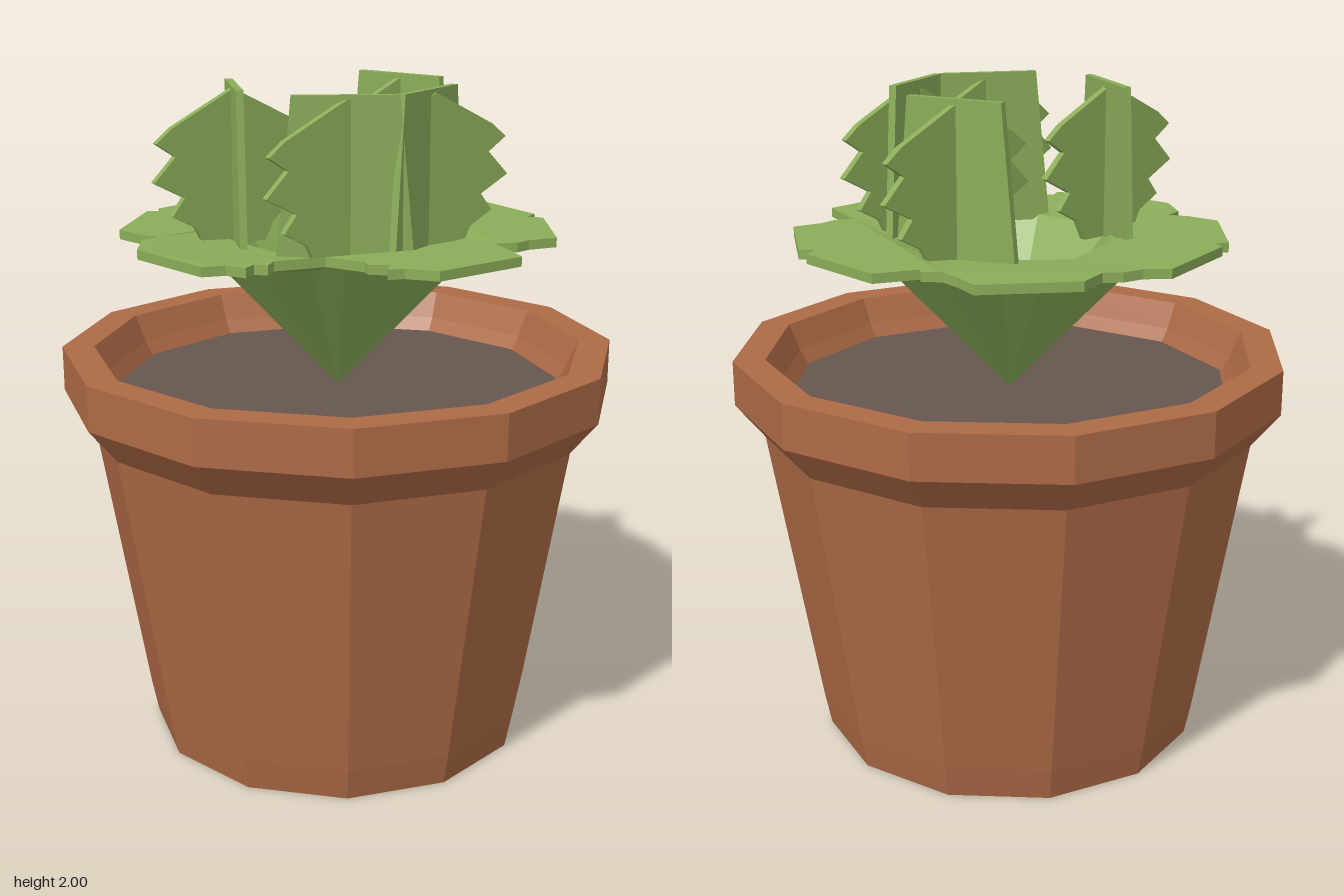
import * as THREE from 'three';

export function createModel() {
  const model = new THREE.Group();
  model.name = 'pottedPlant';
  const material = (name, color) =>
    new THREE.MeshStandardMaterial({ name, color, flatShading: true, side: THREE.DoubleSide });
  const terracotta = material('terracotta', 0xad6a46);
  const earth = material('earth', 0x665750);
  const green = material('leafGreen', 0x8bad59);

  const add = (name, geometry, mat, parent = model) => {
    const mesh = new THREE.Mesh(geometry, mat);
    mesh.name = name;
    parent.add(mesh);
    return mesh;
  };
  const toShape = (pts) => new THREE.Shape(pts.map(([x, y]) => new THREE.Vector2(x, y)));

  // Twelve-sided pot with a flared rim and inner wall
  const profile = [[0, 0], [0.58, 0], [0.6, 0.1], [0.745, 0.98], [0.83, 1.085], [0.83, 1.22],
    [0.735, 1.22], [0.7, 1.14], [0.665, 1.08]];
  add('pot', new THREE.LatheGeometry(profile.map(([x, y]) => new THREE.Vector2(x, y)), 12), terracotta);

  // Soil
  const soil = new THREE.CylinderGeometry(0.67, 0.66, 0.02, 12);
  soil.translate(0, 1.09, 0);
  add('soil', soil, earth);

  // Ragged leaf collar around a funnel, outlines given as x, z
  const outline = [[-0.01, -0.645], [0.05, -0.595], [0.115, -0.585], [0.16, -0.55], [0.26, -0.585],
    [0.5, -0.42], [0.48, -0.33], [0.475, -0.26], [0.515, -0.22], [0.5, -0.2], [0.625, -0.15],
    [0.625, 0.15], [0.58, 0.17], [0.61, 0.21], [0.45, 0.465], [0.36, 0.45], [0.31, 0.46],
    [0.25, 0.435], [0.225, 0.54], [0.205, 0.61], [-0.09, 0.635], [-0.15, 0.56], [-0.195, 0.545],
    [-0.16, 0.5], [-0.205, 0.47], [-0.195, 0.435], [-0.25, 0.325], [-0.395, 0.295], [-0.435, 0.33],
    [-0.46, 0.3], [-0.5, 0.325], [-0.53, 0.27], [-0.595, 0.25], [-0.64, -0.04], [-0.57, -0.15],
    [-0.51, -0.165], [-0.54, -0.22], [-0.56, -0.32], [-0.36, -0.54], [-0.32, -0.52], [-0.31, -0.56]];
  const mouth = [[-0.31, -0.1], [-0.17, -0.26], [0.06, -0.33], [0.23, -0.19], [0.3, -0.12],
    [0.3, 0.08], [0.21, 0.22], [0, 0.29], [-0.22, 0.28], [-0.28, 0.18]];
  const collarShape = toShape(outline);
  collarShape.holes.push(toShape(mouth));
  const collar = new THREE.ExtrudeGeometry(collarShape, { depth: 0.028, bevelEnabled: false });
  collar.rotateX(Math.PI / 2);
  collar.translate(0, 1.575, 0);
  const pos = collar.attributes.position;
  for (let i = 0; i < pos.count; i++) {
    // The collar dips towards the funnel
    if (Math.hypot(pos.getX(i), pos.getZ(i)) < 0.36) pos.setY(i, pos.getY(i) - 0.02);
  }
  add('leafCollar', collar, green);

  // Fan of triangles from an apex on the axis up to a rim
  const fan = (rim, rimY, apexY) => {
    const v = [];
    rim.forEach(([x, z], i) => {
      const [x2, z2] = rim[(i + 1) % rim.length];
      v.push(0, apexY, 0, x, rimY, z, x2, rimY, z2);
    });
    const g = new THREE.BufferGeometry();
    g.setAttribute('position', new THREE.Float32BufferAttribute(v, 3));
    g.computeVertexNormals();
    return g;
  };
  add('funnelInside', fan(mouth, 1.555, 1.13), green);
  const ridges = Array.from({ length: 24 }, (_, i) => {
    const a = (i / 24) * Math.PI * 2;
    const r = i % 2 ? 0.37 : 0.425;
    return [r * Math.sin(a), r * Math.cos(a)];
  });
  add('funnelOutside', fan(ridges, 1.54, 1.09), green);

  // Upright leaves: a spiked plate crossed by a tapered one
  const half = [[0.1, 1.54], [0.13, 1.6], [0.205, 1.64], [0.165, 1.69], [0.26, 1.74],
    [0.19, 1.81], [0.25, 1.85], [0.2, 1.89]];
  const spiked = [...half, [0, 1.99], ...half.map(([x, y]) => [-x, y]).reverse()];
  const plate = (pts) => {
    const g = new THREE.ExtrudeGeometry(toShape(pts), { depth: 0.022, bevelEnabled: false });
    g.translate(0, 0, -0.011);
    return g;
  };
  // Each entry: spiked plate centre, then the two ends of the tapered plate
  const pairs = [
    ['backRight', [-0.285, -0.12], [-0.2, -0.3], [-0.355, 0.06]],
    ['backLeft', [0.29, -0.105], [0.23, -0.29], [0.355, 0.08]],
    ['frontRight', [-0.147, 0.268], [-0.315, 0.17], [0.025, 0.355]],
    ['frontLeft', [0.142, 0.277], [0.3, 0.195], [-0.05, 0.355]],
  ];
  for (const [name, [cx, cz], [x1, z1], [x2, z2]] of pairs) {
    const leaf = new THREE.Group();
    leaf.name = name + 'Leaf';
    model.add(leaf);
    add('spikedPlate', plate(spiked), green, leaf).position.set(cx, 0, cz);
    const w = Math.hypot(x2 - x1, z2 - z1) / 2;
    const cross = add('taperedPlate',
      plate([[-w, 1.54], [w, 1.54], [w - 0.045, 2], [0.045 - w, 2]]), green, leaf);
    cross.position.set((x1 + x2) / 2, 0, (z1 + z2) / 2);
    cross.rotation.y = -Math.atan2(z2 - z1, x2 - x1);
  }
  return model;
}
